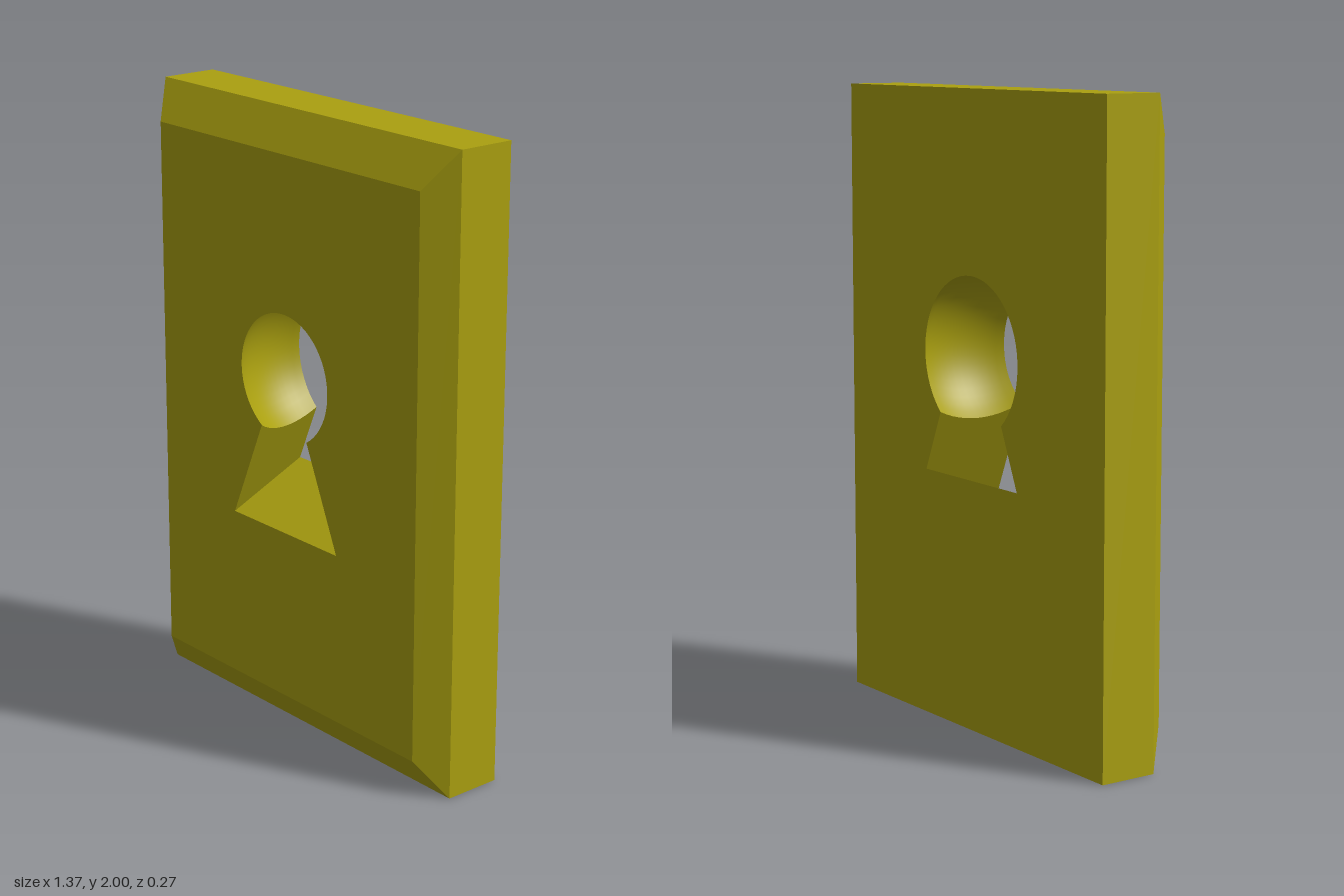
import * as THREE from 'three';

const Z = 0.135;              // half thickness
const BEVEL_Z = 0.053;        // where the front bevel starts
const W = 0.685, H = 2;       // half width, full height
const BX = 0.08, BY = 0.12;   // bevel inset
const CY = 1.18;              // keyhole ball centre height
const BALL_R = 0.27, BALL_Z = -0.039;
const SLOPE = 0.43, APEX = 1.256, FLOOR = 0.677, RISE = 0.12;
const ARC = 48, SLICES = 12;

// Smooth surface through rows of points
function grid(rows) {
  const n = rows[0].length, index = [];
  for (let i = 0; i < rows.length - 1; i++) {
    for (let j = 0; j < n - 1; j++) {
      const a = i * n + j, b = a + 1, c = a + n, d = c + 1;
      index.push(a, b, c, b, d, c);
    }
  }
  const g = new THREE.BufferGeometry();
  g.setAttribute('position', new THREE.Float32BufferAttribute(rows.flat(2), 3));
  g.setIndex(index);
  g.computeVertexNormals();
  return g;
}

// Keyhole section at depth z: a slice of a ball over a flared slot that rises toward the back
function section(z) {
  const lift = RISE * (Z - z) / (2 * Z);
  const apex = APEX + lift, floor = FLOOR + lift;
  const r = Math.sqrt(BALL_R ** 2 - (z - BALL_Z) ** 2);
  const neck = Math.atan(SLOPE) + Math.asin(SLOPE * (apex - CY) / (r * Math.hypot(1, SLOPE)));
  const arc = [];
  for (let i = 0; i <= ARC; i++) {
    const a = neck + (2 * Math.PI - 2 * neck) * i / ARC;
    arc.push([-r * Math.sin(a), CY - r * Math.cos(a), z]);
  }
  const half = SLOPE * (apex - floor);
  const left = [-half, floor, z], right = [half, floor, z];
  return { arc, left, right };
}

// Flat rectangular face pierced by the keyhole
function piercedFace(insetX, insetY, z) {
  const x = W - insetX, y0 = insetY, y1 = H - insetY;
  const toVec = ([px, py]) => new THREE.Vector2(px, py);
  const shape = new THREE.Shape([[-x, y0], [x, y0], [x, y1], [-x, y1]].map(toVec));
  const s = section(z);
  shape.holes.push(new THREE.Path([s.left, ...s.arc, s.right].map(toVec)));
  return new THREE.ShapeGeometry(shape).translate(0, 0, Math.abs(z));
}

export function createModel() {
  const group = new THREE.Group();
  group.name = 'keyholePlate';
  const material = new THREE.MeshStandardMaterial({ color: 0xaaa010 });
  const add = (name, geometry) => {
    const mesh = new THREE.Mesh(geometry, material);
    mesh.name = name;
    group.add(mesh);
  };

  // Front and back faces
  add('frontFace', piercedFace(BX, BY, Z));
  add('backFace', piercedFace(0, 0, -Z).rotateY(Math.PI));

  // Outer edges and front bevels
  const loop = (ix, iy, z) => [
    [-W + ix, iy, z], [W - ix, iy, z], [W - ix, H - iy, z], [-W + ix, H - iy, z],
  ];
  const loops = [loop(0, 0, -Z), loop(0, 0, BEVEL_Z), loop(BX, BY, Z)];
  ['bottom', 'left', 'top', 'right'].forEach((side, k) => {
    const edge = (l) => [l[k], l[(k + 1) % 4]];
    add(side + 'Edge', grid([edge(loops[0]), edge(loops[1])]));
    add(side + 'Bevel', grid([edge(loops[1]), edge(loops[2])]));
  });

  // Keyhole lining
  const slices = Array.from({ length: SLICES + 1 }, (_, i) => section(-Z + 2 * Z * i / SLICES));
  add('keyholeBall', grid(slices.map((s) => s.arc)));
  add('keyholeRightWall', grid(slices.map((s) => [s.left, s.arc[0]])));
  add('keyholeLeftWall', grid(slices.map((s) => [s.arc[ARC], s.right])));
  add('keyholeFloor', grid(slices.map((s) => [s.right, s.left])));

  return group;
}
